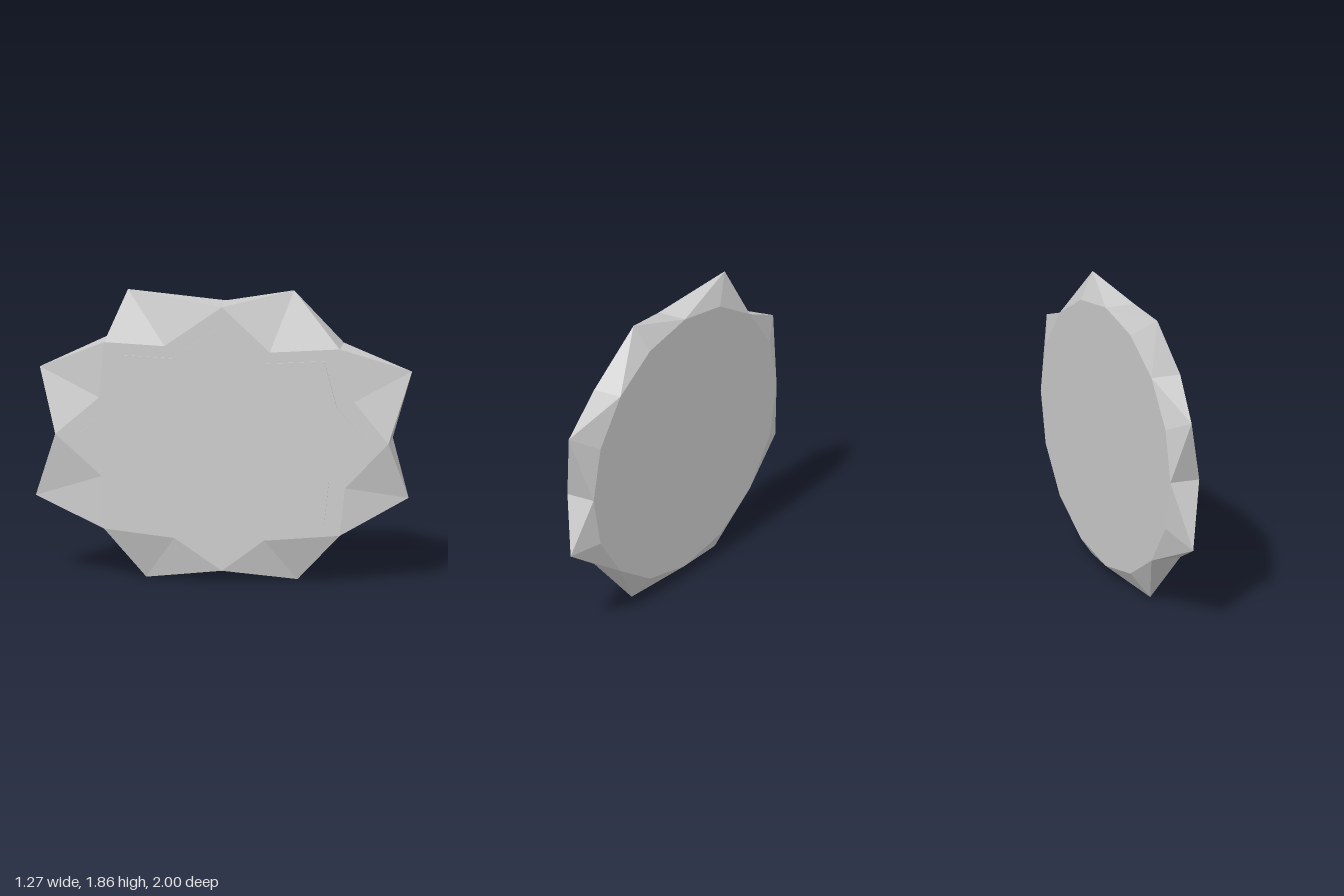
import * as THREE from 'three';

const N = 16;
const RX = 1.045, RY = 0.84;   // half width and half height of the disc
const HALF = 0.097;            // half thickness

// Odd corners of the star rings; even corners lie on the ellipse.
const spikes = [[1.18, 0.445], [0.44, 0.94], [-0.602, 0.915], [-1.155, 0.405],
  [-1.18, -0.415], [-0.487, -0.915], [0.461, -0.9], [1.158, -0.36]];
const notches = [[0.829, 0.26], [0.30, 0.56], [-0.36, 0.58], [-0.77, 0.24],
  [-0.753, -0.26], [-0.30, -0.64], [0.264, -0.64], [0.772, -0.29]];

function ring(odd, z, scale = 1) {
  const points = [];
  for (let i = 0; i < N; i++) {
    const a = (i / N) * Math.PI * 2;
    const [x, y] = odd && i % 2 ? odd[(i - 1) / 2] : [RX * Math.cos(a), RY * Math.sin(a)];
    points.push(new THREE.Vector3(x * scale, y * scale, z));
  }
  return points;
}

// Strip between two rings, with every diagonal running to an even corner of one ring.
function band(back, front, evenOnBack) {
  const out = [];
  for (let i = 0; i < N; i++) {
    const j = (i + 1) % N;
    const a = back[i], b = back[j], c = front[j], d = front[i];
    const diagonalAC = evenOnBack ? i % 2 === 0 : i % 2 === 1;
    if (diagonalAC) out.push(a, b, c, a, c, d);
    else out.push(a, b, d, b, c, d);
  }
  return out;
}

// Flat cap fanned from the middle of a ring.
function cap(points, facesFront) {
  const centre = new THREE.Vector3(0, 0, points[0].z);
  const out = [];
  for (let i = 0; i < N; i++) {
    const p = points[i], q = points[(i + 1) % N];
    out.push(centre, ...(facesFront ? [p, q] : [q, p]));
  }
  return out;
}

function part(name, triangles) {
  const geometry = new THREE.BufferGeometry().setFromPoints(triangles);
  geometry.computeVertexNormals();
  const mesh = new THREE.Mesh(geometry,
    new THREE.MeshStandardMaterial({ color: 0xcccccc, flatShading: true }));
  mesh.name = name;
  return mesh;
}

export function createModel() {
  const group = new THREE.Group();
  group.name = 'spikedDisc';

  // Body: round back, spiked rim, star-shaped front
  const back = ring(null, -HALF);
  const rim = ring(spikes, 0);
  const front = ring(notches, HALF);
  group.add(part('discBody', [
    ...cap(back, false), ...band(back, rim, true),
    ...band(rim, front, false), ...cap(front, true),
  ]));

  // Thin raised star on the front
  const panelBase = ring(notches, HALF, 0.87);
  const panelTop = ring(notches, HALF + 0.006, 0.87);
  group.add(part('frontStarPanel', [...band(panelBase, panelTop, true), ...cap(panelTop, true)]));

  // Stand the disc upright and turn it
  group.position.y = 0.92;
  group.rotation.y = -1.011;
  const model = new THREE.Group();
  model.name = 'model';
  model.add(group);
  return model;
}
